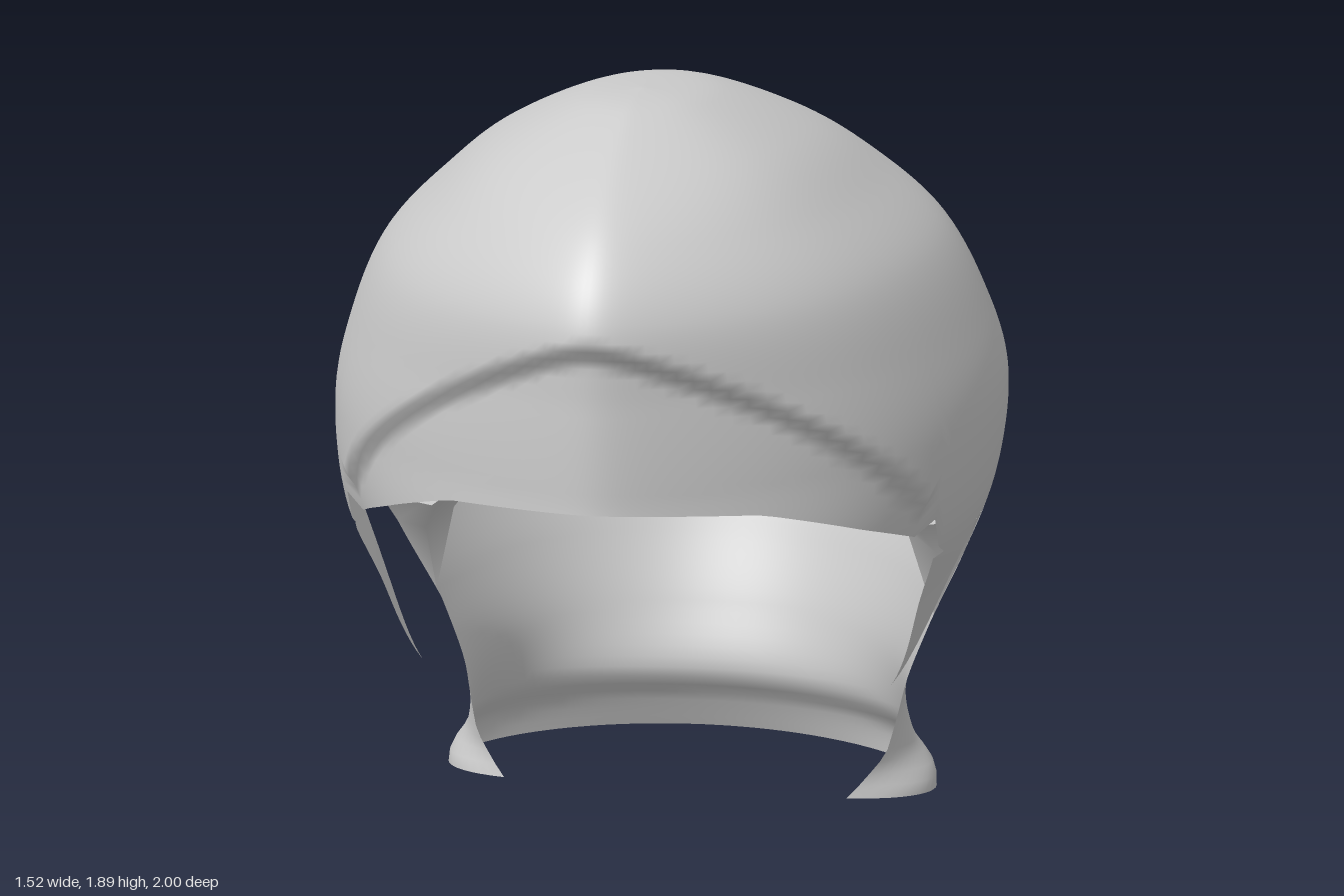
import * as THREE from 'three';

// Horizontal slices of the hair, crown to nape: [y, half width, front z, back z, z of widest point]
const SLICES = [
  [1.892, 0, 0.33, 0.33, 0.33],
  [1.87, 0.15, 0.52, -0.02, 0.25],
  [1.78, 0.34, 0.74, -0.34, 0.15],
  [1.67, 0.48, 0.9, -0.6, 0.05],
  [1.53, 0.62, 0.99, -0.8, -0.03],
  [1.35, 0.71, 1.0, -0.945, -0.1],
  [1.17, 0.76, 1.0, -0.995, -0.15],
  [0.96, 0.745, 0.99, -1.0, -0.15],
  [0.76, 0.68, 0.85, -0.97, -0.15],
  [0.55, 0.6, 0.75, -0.88, -0.15],
  [0.36, 0.535, 0.2, -0.79, -0.25],
  [0.2, 0.55, 0.05, -0.735, -0.33],
  [0.1, 0.605, 0.03, -0.79, -0.35],
  [0, 0.6, 0.03, -0.84, -0.35],
];
const LAST = SLICES.length - 1;
const smooth = THREE.MathUtils.smoothstep;

// Piecewise-linear lookup in a list of [key, value] with falling keys
function lookup(list, k) {
  if (k >= list[0][0]) return list[0][1];
  for (let i = 1; i < list.length; i++) {
    const [k0, v0] = list[i - 1], [k1, v1] = list[i];
    if (k >= k1) return v0 + (v1 - v0) * (k - k0) / (k1 - k0);
  }
  return list[list.length - 1][1];
}

// Smoothly interpolated slice at position u (0 = crown, LAST = nape hem)
function sliceAt(u) {
  const i = Math.min(Math.floor(u), LAST - 1), t = u - i;
  const a = SLICES[Math.max(i - 1, 0)], b = SLICES[i], c = SLICES[i + 1], d = SLICES[Math.min(i + 2, LAST)];
  return b.map((_, k) => {
    const m0 = (c[k] - a[k]) / 2, m1 = (d[k] - b[k]) / 2, t2 = t * t, t3 = t2 * t;
    return (2 * t3 - 3 * t2 + 1) * b[k] + (t3 - 2 * t2 + t) * m0 + (3 * t2 - 2 * t3) * c[k] + (t3 - t2) * m1;
  });
}

// Slice position for a height
function uAt(y) {
  let lo = 0, hi = LAST;
  for (let n = 0; n < 30; n++) {
    const mid = (lo + hi) / 2;
    if (sliceAt(mid)[0] > y) lo = mid; else hi = mid;
  }
  return (lo + hi) / 2;
}

// Point on the hair surface: angle a runs from the front (+z) through the left side (+x)
function surface(a, u) {
  const [y, w, zf, zb, zc] = sliceAt(u);
  const c = Math.cos(a), front = Math.max(c, 0);
  const x = w * Math.sin(a) * (1 - 0.45 * front ** 8);
  const z = zc + c * (c > 0 ? zf - zc : zc - zb);
  // the fringe sits slightly behind the crease above it
  const crease = 1.05 + (z - 0.45) * 0.836;
  const inset = 0.035 * smooth(crease - y, 0, 0.07) * smooth(z, 0.4, 0.46);
  return new THREE.Vector3(x * (1 - inset), y, z - inset * front);
}

function normalAt(a, u) {
  if (u < 0.02) return new THREE.Vector3(0, 1, 0);
  const e = 0.01;
  const du = surface(a, Math.min(u + e, LAST)).sub(surface(a, u - e));
  const da = surface(a + e, u).sub(surface(a - e, u));
  return du.cross(da).normalize();
}

// Angle on the left side at which the slice at height y reaches depth z
function angleAt(y, z) {
  const [, , zf, zb, zc] = sliceAt(uAt(y));
  return Math.acos(THREE.MathUtils.clamp((z - zc) / (z > zc ? zf - zc : zc - zb), -1, 1));
}

// Grid of points; at(r, c) gives { p, n } for r, c in 0..1
function grid(rows, cols, at) {
  const pos = [], nor = [], index = [];
  for (let i = 0; i <= rows; i++) for (let j = 0; j <= cols; j++) {
    const { p, n } = at(i / rows, j / cols);
    pos.push(p.x, p.y, p.z);
    if (n) nor.push(n.x, n.y, n.z);
    if (i < rows && j < cols) {
      const k = i * (cols + 1) + j, d = k + cols + 1;
      index.push(k, d, k + 1, k + 1, d, d + 1);
    }
  }
  const g = new THREE.BufferGeometry();
  g.setAttribute('position', new THREE.Float32BufferAttribute(pos, 3));
  g.setIndex(index);
  if (nor.length) g.setAttribute('normal', new THREE.Float32BufferAttribute(nor, 3));
  else g.computeVertexNormals();
  return g;
}
const onHair = (a, u) => ({ p: surface(a, u), n: normalAt(a, u) });

const SEAM = 0.89;
// Lower edge of the cap by depth z: fringe, temple notch, then the seam
const CAP_EDGE = [[1, 1.14], [0.84, 1.11], [0.65, 1.03], [0.44, 0.95], [0.42, 1.01], [0.37, SEAM], [-1, SEAM]];
// Edges by height y, giving z
const NECK_EDGE = [[SEAM, -0.05], [0.75, -0.14], [0.53, -0.22], [0.35, -0.215], [0.22, -0.17], [0.13, -0.085]];
const BURN_FRONT = [[SEAM, 0.37], [0.75, 0.3], [0.53, 0.2]];
const BURN_BACK = [[SEAM, 0.075], [0.68, 0.14], [0.53, 0.2]];

export function createModel() {
  const model = new THREE.Group();
  const material = new THREE.MeshStandardMaterial({ color: 0xcccccc, side: THREE.DoubleSide });
  const add = (name, geometry) => {
    const mesh = new THREE.Mesh(geometry, material);
    mesh.name = name;
    model.add(mesh);
  };

  // Crown and fringe
  add('crownAndFringe', grid(56, 144, (r, c) => {
    const a = c * Math.PI * 2, k = Math.cos(a);
    const edge = lookup(CAP_EDGE, -0.15 + k * (k > 0 ? 1.15 : 0.85));
    return onHair(a, r * uAt(edge));
  }));

  // Back of the head down to the flared nape
  add('nape', grid(32, 64, (r, c) => {
    const yEdge = SEAM - r * (SEAM - 0.13);
    const a0 = angleAt(yEdge, lookup(NECK_EDGE, yEdge));
    const y = yEdge - r * 0.13 * Math.sin(Math.PI * c);
    return onHair(a0 + (Math.PI * 2 - 2 * a0) * c, uAt(y));
  }));

  for (const side of [1, -1]) {
    const label = side > 0 ? 'left' : 'right';

    // Pointed sideburn in front of the ear
    add(label + 'Sideburn', grid(14, 8, (r, c) => {
      const y = SEAM - r * (SEAM - 0.53);
      const f = angleAt(y, lookup(BURN_FRONT, y)), b = angleAt(y, lookup(BURN_BACK, y));
      const a = side > 0 ? f + (b - f) * c : Math.PI * 2 - b + (b - f) * c;
      return onHair(a, uAt(y));
    }));

    // Inner flap over the ear, tapering down the rear edge of the opening
    const rim = [[0.075, SEAM, 1], [0.01, SEAM, 1], [-0.05, SEAM, 1], [-0.14, 0.75, 0.5], [-0.21, 0.56, 0]];
    add(label + 'EarFlap', grid(rim.length - 1, 2, (r, c) => {
      const [z, y, depth] = rim[Math.round(r * (rim.length - 1))];
      const p = surface(angleAt(y, z), uAt(y));
      const step = Math.round(c * 2);
      p.x = side * (p.x + depth * ([p.x, 0.54, 0.4][step] - p.x));
      p.y += depth * [0, -0.03, 0.08][step];
      return { p };
    }));
  }
  return model;
}
